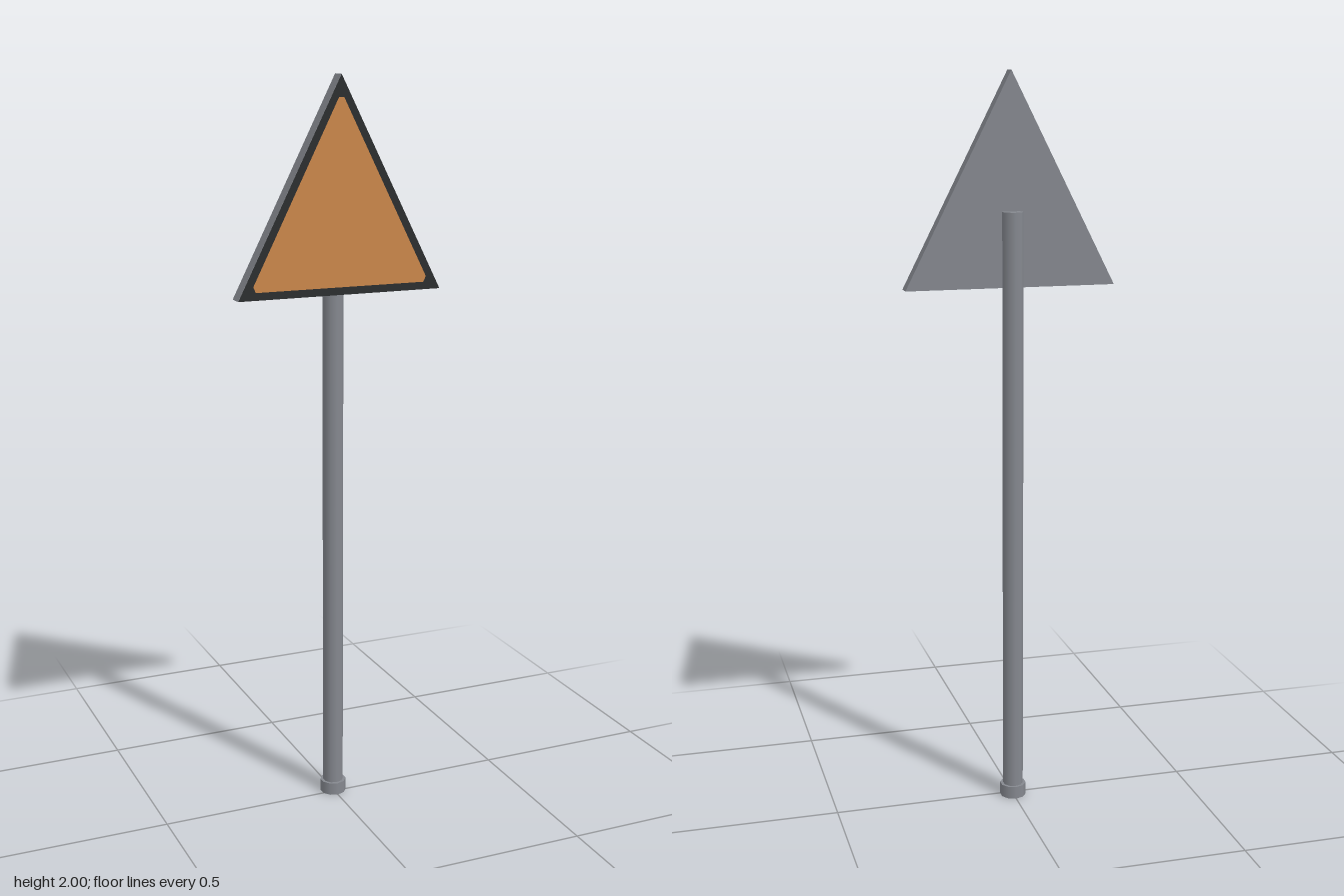
import * as THREE from 'three';

const material = (name, color) => {
  const m = new THREE.MeshStandardMaterial({ color });
  m.name = name;
  return m;
};

export function createModel() {
  const group = new THREE.Group();
  const metal = material('grey metal', 0x85888f);
  const black = material('black border', 0x2c2e2f);
  const orange = material('orange panel', 0xca874b);

  const add = (name, geometry, mat, x, y, z) => {
    const mesh = new THREE.Mesh(geometry, mat);
    mesh.name = name;
    mesh.position.set(x, y, z);
    group.add(mesh);
  };
  const shape = (points) => new THREE.Shape(points.map(([x, y]) => new THREE.Vector2(x, y)));

  // Ten-sided post standing in a short collar
  const postZ = -0.011;
  add('post', new THREE.CylinderGeometry(0.028, 0.028, 1.64, 10), metal, 0, 0.82, postZ);
  add('baseCollar', new THREE.CylinderGeometry(0.036, 0.036, 0.035, 10), metal, 0, 0.0175, postZ);

  // Triangular metal plate
  const outline = [[-0.285, 1.44], [0.285, 1.44], [0, 2]];
  const plate = new THREE.ExtrudeGeometry(shape(outline), { depth: 0.04, bevelEnabled: false });
  add('signPlate', plate, metal, 0, 0, 0.004);

  // Painted front: orange panel with clipped corners, framed by a black border
  const panel = [
    [-0.237, 1.46], [0.237, 1.46], [0.244, 1.475],
    [0.007, 1.943], [-0.007, 1.943], [-0.244, 1.475],
  ];
  const border = shape(outline);
  border.holes.push(shape(panel));
  add('signBorder', new THREE.ShapeGeometry(border), black, 0, 0, 0.046);
  add('signPanel', new THREE.ShapeGeometry(shape(panel)), orange, 0, 0, 0.046);

  return group;
}
